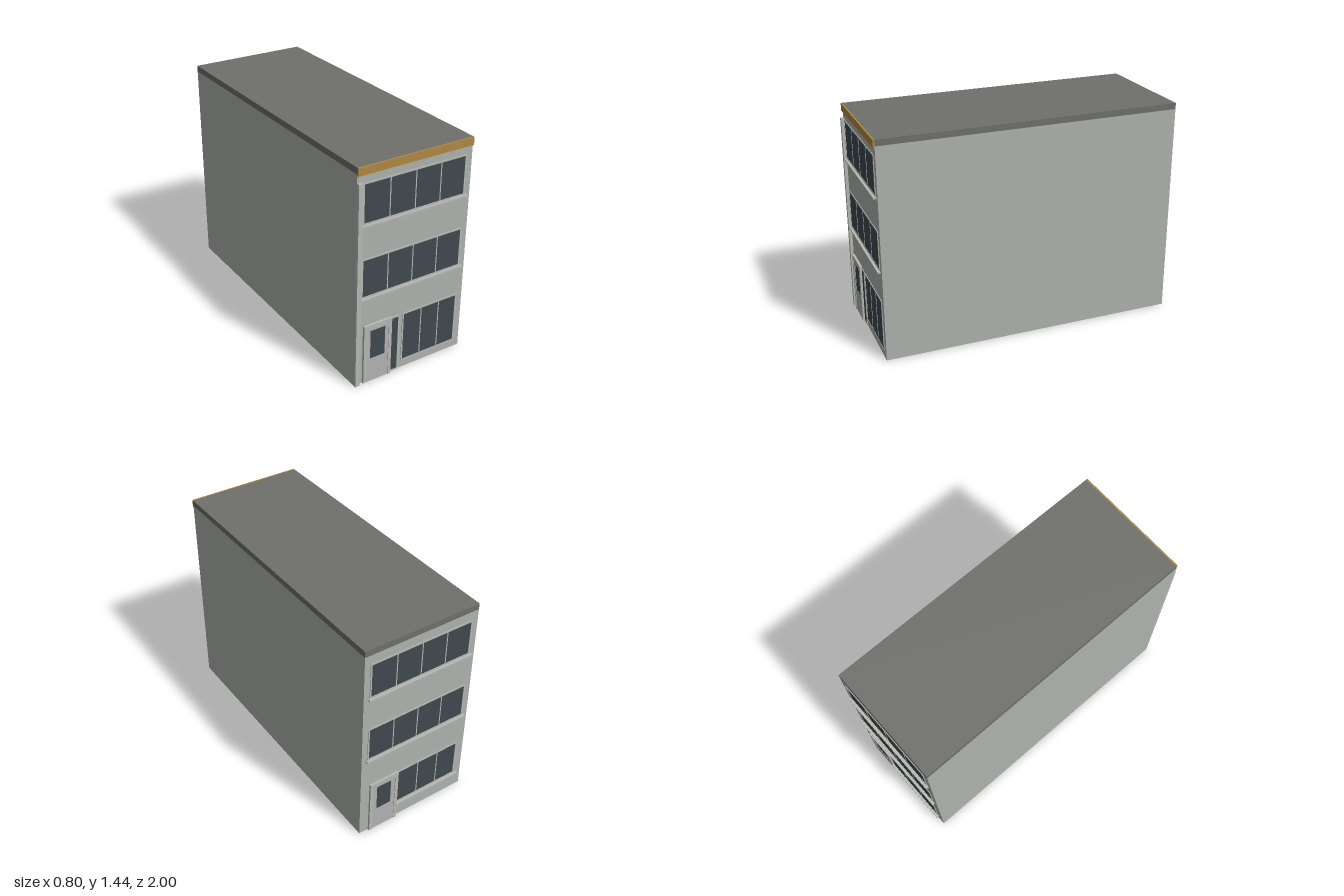
import * as THREE from 'three';

const mat = (color, side = THREE.FrontSide) => new THREE.MeshStandardMaterial({ color, side });
const wallMat = mat(0xaeb3ae, THREE.DoubleSide);
const trimMat = mat(0xb6bab2);
const doorMat = mat(0xb2b2b2);
const glassMat = mat(0x3f4950);
const roofMat = mat(0x6f706b);
const fasciaMat = mat(0xb08a40);

const W = 0.4, WALL_TOP = 1.4, ROOF_TOP = 1.44, FACE = 0.98;

// Box given by its limits
function block(name, material, [x0, x1], [y0, y1], [z0, z1]) {
  const mesh = new THREE.Mesh(new THREE.BoxGeometry(x1 - x0, y1 - y0, z1 - z0), material);
  mesh.position.set((x0 + x1) / 2, (y0 + y1) / 2, (z0 + z1) / 2);
  mesh.name = name;
  return mesh;
}

function rect(target, x0, x1, y0, y1) {
  target.moveTo(x0, y0);
  target.lineTo(x1, y0);
  target.lineTo(x1, y1);
  target.lineTo(x0, y1);
  target.closePath();
  return target;
}

// Flat frame with rectangular openings, standing out from z = 0
function frame(name, material, outer, holes, depth) {
  const shape = rect(new THREE.Shape(), ...outer);
  holes.forEach((h) => shape.holes.push(rect(new THREE.Path(), ...h)));
  const mesh = new THREE.Mesh(
    new THREE.ExtrudeGeometry(shape, { depth, bevelEnabled: false }), material);
  mesh.name = name;
  return mesh;
}

// Frame with a row of equal panes
function windowRow(name, x0, x1, y0, y1, count) {
  const group = new THREE.Group();
  group.name = name;
  const border = 0.01, bar = 0.007;
  const pane = (x1 - x0 - 2 * border - (count - 1) * bar) / count;
  const holes = [];
  for (let i = 0; i < count; i++) {
    const left = x0 + border + i * (pane + bar);
    holes.push([left, left + pane, y0 + border, y1 - border]);
    group.add(block('pane', glassMat, [left, left + pane], [y0 + border, y1 - border], [0, 0.002]));
  }
  group.add(frame('windowFrame', trimMat, [x0, x1, y0, y1], holes, 0.004));
  return group;
}

const sill = (x0, x1, y) => block('windowSill', trimMat, [x0, x1], [y, y + 0.01], [0, 0.02]);

// Door with surround, leaf and a glazed opening
function door(x0, x1, height, glassY, depth) {
  const group = new THREE.Group();
  group.name = 'door';
  const c = (x0 + x1) / 2, leaf = (x1 - x0) / 2 - 0.022, glass = 0.053, top = height - 0.022;
  const surround = new THREE.Shape([
    [x0, 0], [c - leaf, 0], [c - leaf, top], [c + leaf, top],
    [c + leaf, 0], [x1, 0], [x1, height], [x0, height],
  ].map((p) => new THREE.Vector2(...p)));
  const trim = new THREE.Mesh(
    new THREE.ExtrudeGeometry(surround, { depth, bevelEnabled: false }), trimMat);
  trim.name = 'doorSurround';
  group.add(trim);
  const opening = [c - glass, c + glass, ...glassY];
  group.add(frame('doorLeaf', doorMat, [c - leaf, c + leaf, 0, top], [opening], depth - 0.003));
  group.add(block('doorGlass', glassMat, [c - glass, c + glass], glassY, [0, depth - 0.005]));
  return group;
}

// Upper floors, alike on both street faces
function upperFloors(facade, lift) {
  for (const y of [0.6, 1.08]) {
    facade.add(windowRow('upperWindow', -0.36, 0.36, y + lift, y + 0.26, 4));
    facade.add(sill(-0.37, 0.375, y - 0.01 + lift));
  }
}

export function createModel() {
  const model = new THREE.Group();
  model.name = 'rowBuilding';

  // Four thin walls, open underneath
  const walls = new THREE.Group();
  walls.name = 'walls';
  for (let i = 0; i < 4; i++) {
    const street = i % 2 === 0;
    const wall = new THREE.Mesh(
      new THREE.PlaneGeometry(street ? 2 * W : 2 * FACE, WALL_TOP), wallMat);
    wall.name = street ? 'streetWall' : 'partyWall';
    wall.rotation.y = (i * Math.PI) / 2;
    const d = street ? FACE : W;
    wall.position.set(Math.sin(wall.rotation.y) * d, WALL_TOP / 2, Math.cos(wall.rotation.y) * d);
    walls.add(wall);
  }
  model.add(walls);

  // Flat roof and the coloured band on its front edge
  model.add(block('roof', roofMat, [-W, W], [WALL_TOP, ROOF_TOP], [-FACE, FACE]));
  model.add(block('fascia', fasciaMat, [-W, W], [1.39, ROOF_TOP], [FACE, FACE + 0.01]));

  // Front: pilaster, door with sidelight, shop window, upper windows
  const front = new THREE.Group();
  front.name = 'frontFacade';
  front.position.z = FACE;
  front.add(block('pilaster', trimMat, [-W, -0.37], [0, 1.345], [0, 0.02]));
  front.add(door(-0.34, -0.14, 0.405, [0.163, 0.362], 0.016));
  front.add(windowRow('sidelight', -0.15, -0.076, 0, 0.395, 1));
  front.add(windowRow('shopWindow', -0.055, 0.358, 0.05, 0.396, 3));
  upperFloors(front, 0);
  model.add(front);

  // Back, turned half round so its own x runs the other way
  const back = new THREE.Group();
  back.name = 'backFacade';
  back.position.z = -FACE;
  back.rotation.y = Math.PI;
  back.add(door(-0.335, -0.125, 0.395, [0.163, 0.352], 0.014));
  back.add(windowRow('groundWindow', -0.125, 0.345, 0.12, 0.39, 3));
  back.add(sill(-0.135, 0.36, 0.11));
  upperFloors(back, 0.015);
  model.add(back);

  return model;
}
